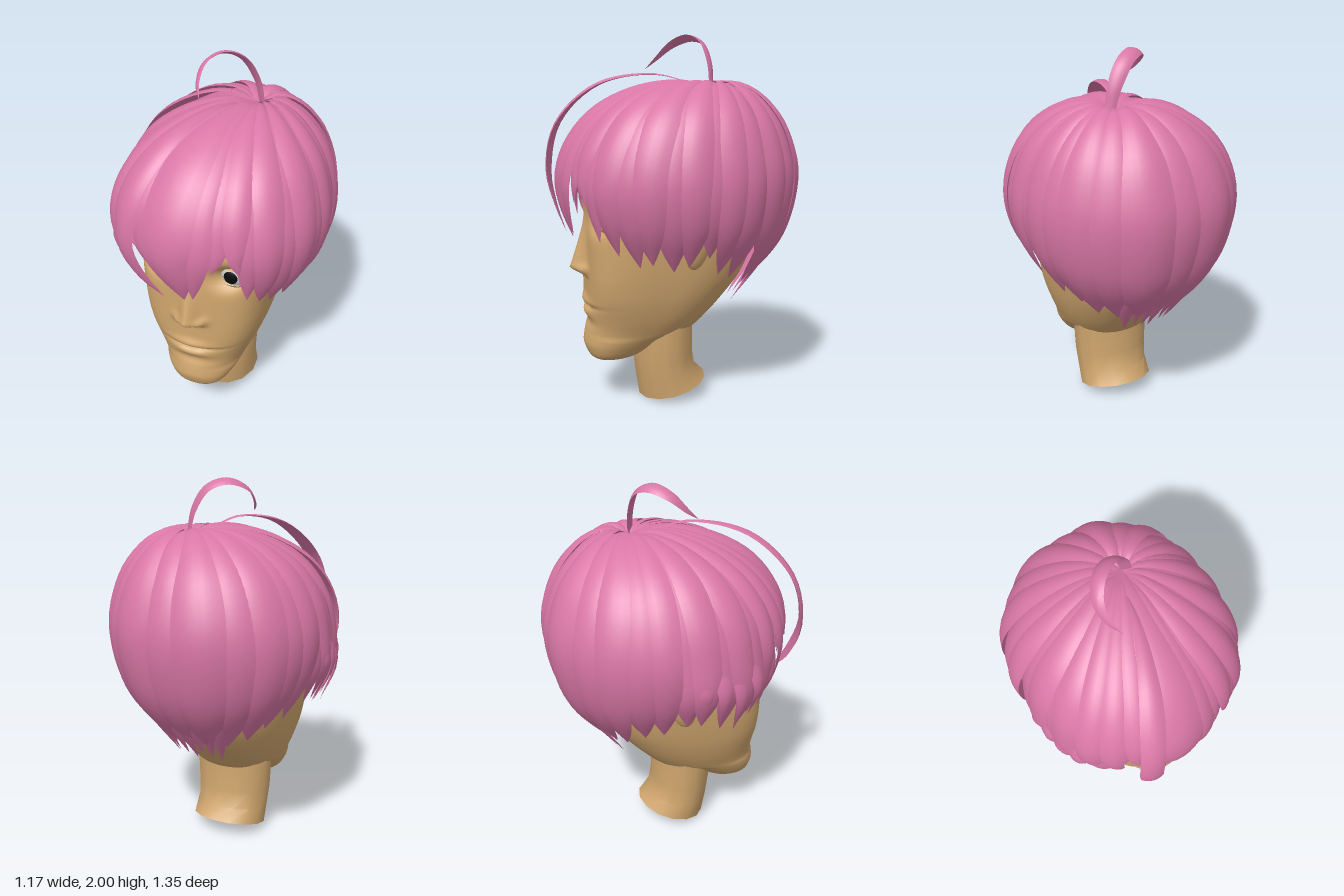
import * as THREE from 'three';
import { toCreasedNormals } from 'three/addons/utils/BufferGeometryUtils.js';

const V = (x, y, z) => new THREE.Vector3(x, y, z);
const rad = THREE.MathUtils.degToRad;
const { lerp, smoothstep } = THREE.MathUtils;
const skin = new THREE.MeshStandardMaterial({ color: 0xd0a66e, side: THREE.DoubleSide });
const pink = new THREE.MeshStandardMaterial({ color: 0xd977a6, side: THREE.DoubleSide });
const white = new THREE.MeshStandardMaterial({ color: 0xdddddd });
const black = new THREE.MeshStandardMaterial({ color: 0x0a0a0a });

// Skin a list of closed rings of points
function loft(rings, crease) {
  const n = rings[0].length, index = [];
  for (let i = 0; i < rings.length - 1; i++) {
    for (let j = 0; j < n; j++) {
      const a = i * n + j, b = i * n + (j + 1) % n;
      index.push(a, b, b + n, a, b + n, a + n);
    }
  }
  const geo = new THREE.BufferGeometry().setFromPoints(rings.flat());
  geo.setIndex(index);
  if (crease) return toCreasedNormals(geo, crease);
  geo.computeVertexNormals();
  return geo;
}

function add(parent, name, geo, mat) {
  const mesh = new THREE.Mesh(geo, mat);
  mesh.name = name;
  parent.add(mesh);
  return mesh;
}

// ---- Head: horizontal sections [y, half width, front z, back z]
const SECTIONS = [
  [0.245, 0.001, 0.381, 0.38], [0.25, 0.1, 0.455, 0.28], [0.275, 0.15, 0.485, 0.2],
  [0.33, 0.19, 0.5, 0.11], [0.375, 0.215, 0.497, 0.03], [0.41, 0.232, 0.495, -0.1],
  [0.5, 0.274, 0.49, -0.2],
  [0.6, 0.308, 0.495, -0.29], [0.7, 0.33, 0.495, -0.37], [0.82, 0.348, 0.495, -0.43],
  [1.0, 0.365, 0.495, -0.49], [1.2, 0.385, 0.5, -0.52], [1.4, 0.39, 0.46, -0.51],
  [1.55, 0.34, 0.36, -0.43], [1.65, 0.24, 0.22, -0.3], [1.69, 0.001, -0.03, -0.031],
];

const bump = (x, y, x0, y0, sx, sy, h) =>
  h * Math.exp(-(((x - x0) / sx) ** 2) - ((y - y0) / sy) ** 2);

// Forward displacement that models the face
function faceRelief(x, y) {
  const ax = Math.abs(x), k = THREE.MathUtils.clamp((1.06 - y) / 0.3, 0, 1);
  const nose = 0.088 * (y > 0.76 ? k ** 1.2 : Math.max(0, (y - 0.71) / 0.05));
  return nose * Math.exp(-((x / (0.035 + 0.018 * k)) ** 2))
    + bump(ax, y, 0.065, 0.755, 0.028, 0.025, 0.03)      // nostril wings
    + bump(ax, y, 0, 0.58, 0.11, 0.025, 0.02)            // upper lip
    + bump(ax, y, 0, 0.515, 0.1, 0.025, 0.018)           // lower lip
    + bump(ax, y, 0, 0.545 + ax * 0.1, 0.15, 0.01, -0.025) // mouth line
    + bump(ax, y, 0, 0.46, 0.12, 0.025, -0.01)
    + bump(ax, y, 0, 0.36, 0.1, 0.06, 0.012)             // chin
    + bump(ax, y, 0.21, 1.05, 0.09, 0.06, -0.085)        // eye sockets
    + bump(ax, y, 0.2, 1.17, 0.12, 0.04, 0.01);          // brows
}

function headGeometry() {
  const shape = new THREE.CatmullRomCurve3(SECTIONS.map(s => V(s[1], s[0], s[2])));
  const back = new THREE.CatmullRomCurve3(SECTIONS.map(s => V(s[1], s[0], s[3])));
  const rings = [], rows = 128, n = 120;
  for (let i = 0; i <= rows; i++) {
    const f = shape.getPoint(i / rows), zb = back.getPoint(i / rows).z;
    const zm = (f.z + zb) / 2, ring = [];
    const square = 2.4 + 1.2 * smoothstep(f.y, 0.4, 0.75) - 1.2 * smoothstep(f.y, 1.05, 1.4);
    for (let j = 0; j < n; j++) {
      const a = j / n * Math.PI * 2, s = Math.sin(a), c = Math.cos(a);
      const e = c > 0 ? square : 2.2;
      const r = (Math.abs(s) ** e + Math.abs(c) ** e) ** (-1 / e);
      const x = f.x * s * r;
      let z = zm + (f.z - zm) * c * r;
      if (c > 0) z += faceRelief(x, f.y) * smoothstep(c, 0, 0.5);
      ring.push(V(x, f.y, z));
    }
    rings.push(ring);
  }
  return loft(rings);
}

// Open neck, rings: [half width, front z, back z, front y, back y]
function neckGeometry() {
  return loft([[0.212, 0.2, -0.18, 0, 0.1],
    [0.21, 0.22, -0.12, 0.12, 0.16], [0.22, 0.235, -0.1, 0.25, 0.26],
    [0.23, 0.24, -0.1, 0.46, 0.46]].map(([w, zf, zb, yf, yb]) =>
    Array.from({ length: 14 }, (_, j) => {
      const a = j / 14 * Math.PI * 2, t = (1 + Math.cos(a)) / 2;
      return V(w * Math.sin(a), lerp(yb, yf, t), lerp(zb, zf, t));
    })), 0.7);
}

// ---- Hair: paths run from the crown over a rounded shell to a tip
const CROWN = V(0.12, 1.715, -0.19);
function hairPath(deg, tipY, { drift = 0, inset = 0, curl = 0.3, kick = 0 } = {}) {
  const at = (d, f, y, fromCrown) => {
    const s = Math.sin(rad(d)), c = Math.cos(rad(d));
    const p = 2.2, zr = c > 0 ? 0.625 : 0.665;
    const r = (Math.abs(s / 0.58) ** p + Math.abs(c / zr) ** p) ** (-1 / p) - inset;
    return fromCrown
      ? V(lerp(CROWN.x, r * s, f), y - inset * 0.7, lerp(CROWN.z, r * c, f))
      : V(r * s * f, y, r * c * f);
  };
  const pts = [[0, 1.715], [0.18, 1.76], [0.48, 1.72], [0.78, 1.585], [0.94, 1.42], [1, 1.25]]
    .map(([f, y]) => at(deg, f, y, true));
  for (const k of [0.5, 1]) {
    const y = lerp(1.25, tipY, k), f = 1 - curl * ((1.25 - y) / 0.5) ** 2;
    pts.push(at(deg + drift * k, f + (k < 1 ? kick : 0), y, false));
  }
  return pts;
}

// A lens-shaped strand that tapers to a point
function lock(points, half, { root = 0.2, full = 0.5, taper = 0.68, bulge = 0.28,
  centre = V(0, 1.1, 0) } = {}) {
  const curve = new THREE.CatmullRomCurve3(points), rings = [], n = 28;
  for (let i = 0; i <= n; i++) {
    const t = i / n, p = curve.getPointAt(t), T = curve.getTangentAt(t);
    const O = p.clone().sub(centre);
    O.addScaledVector(T, -O.dot(T)).normalize();
    const S = T.clone().cross(O);
    const end = t > taper ? 1 - ((t - taper) / (1 - taper)) ** 2.2 : 1;
    const w = half * lerp(root, 1, smoothstep(t, 0, full)) * Math.max(end, 0.01);
    const pt = (a, h) => p.clone().addScaledVector(S, a * w).addScaledVector(O, h * w);
    const ring = [];
    for (let j = -3; j <= 3; j++) ring.push(pt(j / 3, bulge * (1 - (j / 3) ** 2)));
    ring.push(pt(0.4, -0.08), pt(-0.4, -0.08));
    rings.push(ring);
  }
  return loft(rings, 0.8);
}

// Inner layer that closes the gaps between locks, cut off at a height per direction
function underHair() {
  const n = 60, m = 26, columns = [];
  for (let j = 0; j < n; j++) {
    const d = j / n * 360, away = Math.min(d, 360 - d);
    const bottom = 1.4 - 0.36 * smoothstep(away, 32, 65) - 0.24 * smoothstep(away, 110, 150);
    const curve = new THREE.CatmullRomCurve3(hairPath(d, 0.75, { inset: 0.045 }));
    let end = 1;
    while (curve.getPoint(end).y < bottom) end -= 0.005;
    columns.push(Array.from({ length: m + 1 }, (_, i) => curve.getPoint(end * (1 - i / m))));
  }
  return loft(Array.from({ length: m + 1 }, (_, i) => columns.map(c => c[i])));
}

// Locks: [angle from the front, tip height, half width, tip drift]
const LOCKS = [
  [-6, 0.93, 0.15, 6], [-19, 1.04, 0.1, 7], [8, 0.95, 0.08, -3], [17, 1.14, 0.08, -2],
  [26, 1.14, 0.07, 2], [33, 0.95, 0.075, 0], [41, 0.88, 0.085, 1], [51, 0.82, 0.09, 2],
  [62, 0.84, 0.1, 0], [73, 0.8, 0.1, 2], [85, 0.83, 0.1, 0], [96, 0.87, 0.1, 2],
  [108, 0.77, 0.1, 0], [120, 0.73, 0.11, 2], [133, 0.69, 0.12, 3], [147, 0.66, 0.13, 3],
  [163, 0.64, 0.14, 2], [180, 0.63, 0.14, 0], [197, 0.64, 0.14, -2], [212, 0.66, 0.13, -3],
  [226, 0.7, 0.12, -3], [239, 0.75, 0.11, -2], [251, 0.79, 0.1, 0], [263, 0.86, 0.1, 3],
  [274, 0.86, 0.1, 0], [285, 0.8, 0.09, 4], [295, 0.78, 0.09, 5], [305, 0.84, 0.085, 4],
  [315, 0.9, 0.08, 2], [326, 1.14, 0.08, 1],
];

export function createModel() {
  const model = new THREE.Group();
  add(model, 'head', headGeometry(), skin);
  add(model, 'neck', neckGeometry(), skin);

  for (const side of [1, -1]) {
    // Eyeball, pupil and lids
    const eye = new THREE.Group();
    eye.name = side > 0 ? 'leftEye' : 'rightEye';
    eye.position.set(0.208 * side, 1.05, 0.362);
    add(eye, 'eyeball', new THREE.SphereGeometry(0.092, 32, 20), white);
    add(eye, 'pupil', new THREE.SphereGeometry(0.095, 24, 6, 0, Math.PI * 2, 0, 0.4), black)
      .rotation.x = Math.PI / 2;
    for (const up of [1, -1]) {
      const lid = add(eye, up > 0 ? 'upperLid' : 'lowerLid',
        new THREE.SphereGeometry(0.101, 28, 10, 0, Math.PI * 2, 0, 1.02), skin);
      lid.rotation.set(up > 0 ? 0.1 : Math.PI - 0.08, 0, 0);
    }
    model.add(eye);

    const ear = add(model, side > 0 ? 'leftEar' : 'rightEar',
      new THREE.SphereGeometry(1, 20, 14), skin);
    ear.scale.set(0.04, 0.14, 0.07);
    ear.position.set(0.375 * side, 0.93, -0.03);
    ear.rotation.set(-0.15, 0.25 * side, -0.1 * side);
  }

  const hair = new THREE.Group();
  hair.name = 'hair';
  model.add(hair);
  add(hair, 'underHair', underHair(), pink);
  LOCKS.forEach(([deg, tipY, half, drift], i) => {
    const front = deg < 35 || deg > 320, flare = deg > 260 && deg < 320;
    const curl = front ? 0.2 : flare ? 0.17 : deg > 125 && deg < 235 ? 0.27 : 0.3;
    const inset = (flare ? 0.04 : 0.018) + (i % 2) * 0.012;
    const kick = flare ? 0.05 : 0;
    add(hair, 'lock', lock(hairPath(deg, tipY, { drift, inset, curl, kick }), half), pink);
  });

  // Small pointed strands at the nape
  for (let d = 156; d <= 204; d += 8) {
    add(hair, 'napeStrand', lock(hairPath(d, 0.55 + (d % 3) * 0.02,
      { inset: 0.04, curl: 0.245 }), 0.045, { taper: 0.75 }), pink);
  }
  // Strands flicking out on the right side
  for (const [d, y] of [[272, 0.92], [282, 0.86], [292, 0.8], [302, 0.86]]) {
    add(hair, 'sideStrand', lock(hairPath(d, y,
      { inset: 0.05, curl: 0.08, kick: 0.09, drift: 3 }), 0.055), pink);
  }
  // Raised strands swept over the right of the forehead
  for (const [d, y] of [[-14, 1.05], [-27, 1.2], [-38, 1], [-50, 0.88]]) {
    add(hair, 'sweptStrand', lock(hairPath(d, y, { inset: 0.01, curl: 0.2, drift: 4 }),
      0.065), pink);
  }

  // Loose arched lock over the forehead
  add(hair, 'looseLock', lock([V(0.06, 1.74, -0.1), V(0, 1.79, 0.12), V(-0.12, 1.73, 0.4),
    V(-0.23, 1.52, 0.6), V(-0.26, 1.27, 0.65), V(-0.2, 1.08, 0.62),
    V(-0.1, 0.94, 0.58)], 0.06), pink);

  // Upright curl on the crown
  add(hair, 'crownCurl', lock([V(0.14, 1.72, -0.17), V(0.11, 1.84, -0.17), V(0.04, 1.95, -0.15),
    V(-0.05, 1.985, -0.1), V(-0.115, 1.95, -0.02), V(-0.12, 1.88, 0.06), V(-0.08, 1.82, 0.135)],
  0.042, { root: 0.7, full: 0.3, taper: 0.35, centre: V(0, 1.78, -0.02) }), pink);

  return model;
}
